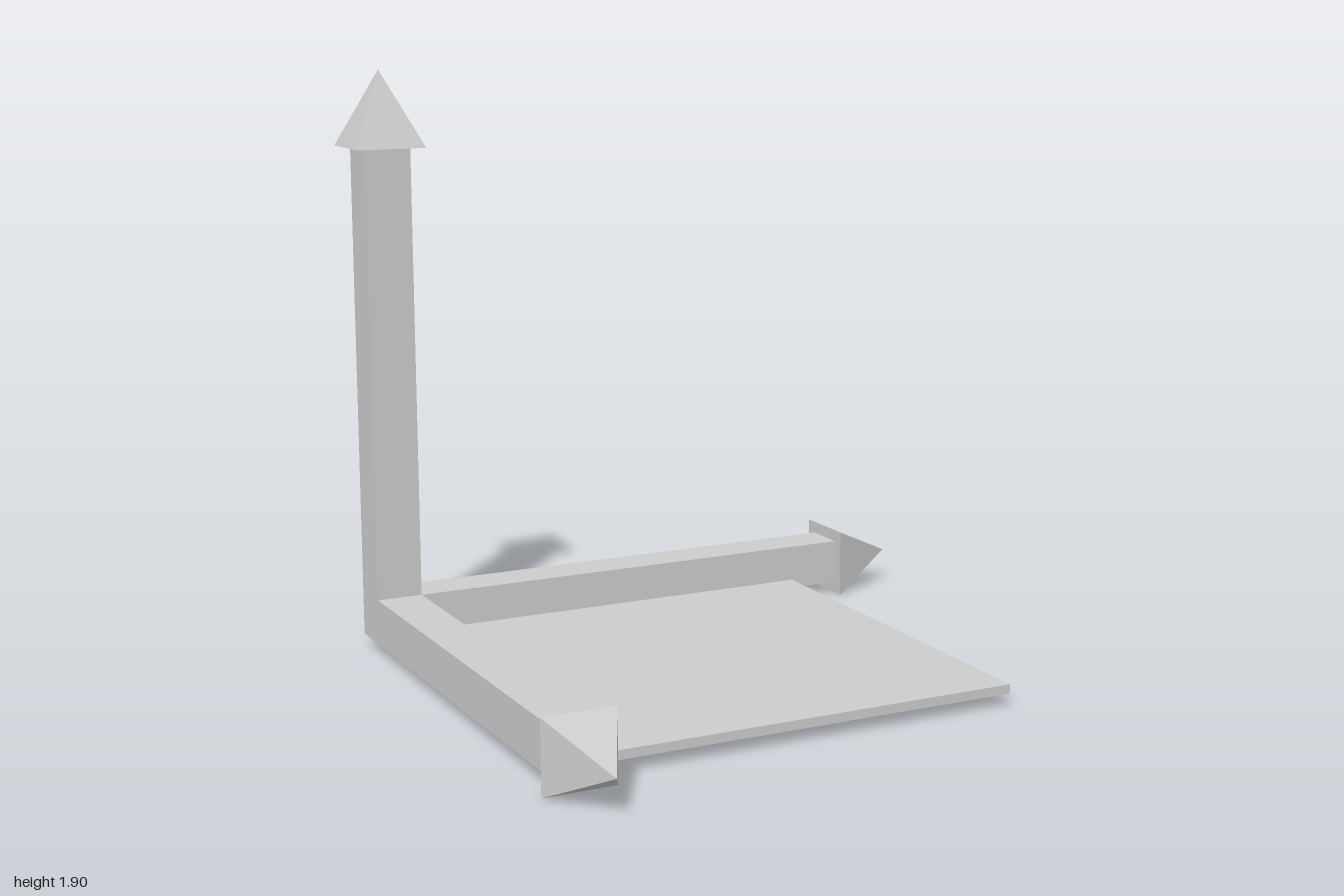
import * as THREE from 'three';

const ORIGIN = [-0.885, 0.116, -0.838]; // centre of the corner where the arms meet
const HALF = 0.075;                     // half the shaft thickness
const HEAD = 0.115;                     // half the arrowhead width
const HEAD_LENGTH = 0.245;

const material = new THREE.MeshStandardMaterial({ color: 0xcccccc, flatShading: true });

function addMesh(parent, name, geometry, x, y, z) {
  const mesh = new THREE.Mesh(geometry, material);
  mesh.name = name;
  mesh.position.set(x, y, z);
  parent.add(mesh);
}

// Square arrow pointing along +y, with its shaft running from start to the head
function arrow(name, start, tip) {
  const group = new THREE.Group();
  group.name = name;
  const base = tip - HEAD_LENGTH;
  addMesh(group, 'shaft', new THREE.BoxGeometry(2 * HALF, base - start, 2 * HALF), 0, (start + base) / 2, 0);
  const head = new THREE.ConeGeometry(HEAD * Math.SQRT2, HEAD_LENGTH, 4, 1, false, Math.PI / 4);
  addMesh(group, 'arrowhead', head, 0, base + HEAD_LENGTH / 2, 0);
  group.position.set(...ORIGIN);
  return group;
}

export function createModel() {
  const model = new THREE.Group();
  model.name = 'axisArrows';

  // The upright arm fills the corner; the other two butt against it
  const upArrow = arrow('upArrow', -HALF, 1.79);
  const sideArrow = arrow('sideArrow', HALF, 1.885);
  sideArrow.rotation.z = -Math.PI / 2;
  const frontArrow = arrow('frontArrow', HALF, 1.79);
  frontArrow.rotation.x = Math.PI / 2;
  model.add(upArrow, sideArrow, frontArrow);

  // Thin floor plate between the two horizontal arms, flush with their undersides
  const [x0, y0, z0] = [ORIGIN[0] + HALF, ORIGIN[1] - HALF, ORIGIN[2] + HALF];
  const [x1, y1, z1] = [0.58, 0.07, 0.625];
  addMesh(model, 'floorPlate', new THREE.BoxGeometry(x1 - x0, y1 - y0, z1 - z0),
    (x0 + x1) / 2, (y0 + y1) / 2, (z0 + z1) / 2);

  return model;
}
